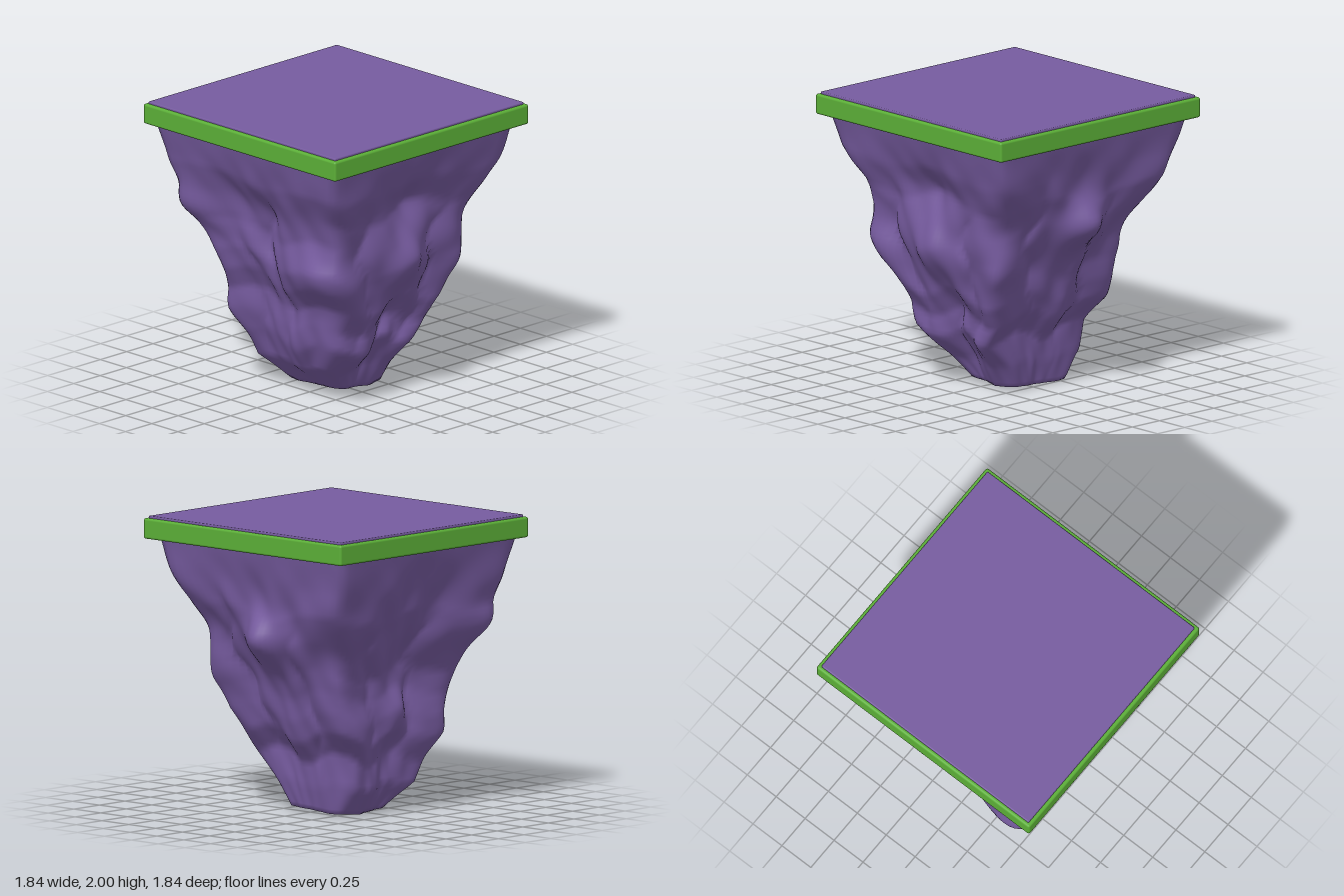
import * as THREE from 'three';
import { RoundedBoxGeometry } from 'three/addons/geometries/RoundedBoxGeometry.js';

// Rock taper by height: y, left x, right x, front z, back z
const PROFILE = [
  [1.87, -0.88, 0.86, 0.87, -0.85],
  [1.60, -0.82, 0.79, 0.81, -0.80],
  [1.40, -0.77, 0.71, 0.73, -0.77],
  [1.20, -0.68, 0.69, 0.65, -0.70],
  [1.00, -0.58, 0.66, 0.64, -0.61],
  [0.85, -0.55, 0.62, 0.59, -0.55],
  [0.70, -0.55, 0.58, 0.50, -0.51],
  [0.55, -0.53, 0.48, 0.48, -0.45],
  [0.40, -0.46, 0.47, 0.44, -0.33],
  [0.20, -0.44, 0.30, 0.36, -0.31],
  [0.04, -0.32, 0.21, 0.17, -0.27],
];

// Bulging lobes: angle from the front (degrees), height, angular width, height range, amount
const LOBES = [
  [313, 1.26, 18, 0.13, 0.11], [28, 0.97, 17, 0.18, 0.15], [90, 1.0, 20, 0.22, 0.18],
  [182, 1.2, 15, 0.16, 0.20], [314, 0.52, 14, 0.2, 0.11], [48, 0.9, 12, 0.2, 0.06],
  [47, 0.4, 12, 0.2, 0.07], [135, 1.25, 14, 0.16, -0.10], [225, 1.15, 14, 0.18, -0.07],
  [225, 0.6, 12, 0.12, 0.05], [135, 0.9, 10, 0.1, 0.04], [270, 0.7, 18, 0.18, 0.10],
  [10, 0.4, 18, 0.16, 0.09], [108, 0.2, 16, 0.16, 0.07], [65, 0.4, 14, 0.2, 0.06],
  [0, 1.35, 24, 0.14, -0.06], [90, 1.45, 26, 0.12, -0.05],
];

// Sharp upright clefts, same columns, amount is depth
const CLEFTS = [
  [0, 0.95, 7, 0.5, 0.10], [-22, 0.9, 6, 0.25, 0.06], [60, 0.95, 7, 0.4, 0.11],
  [87, 0.35, 7, 0.3, 0.12], [116, 0.85, 7, 0.4, 0.12], [152, 0.9, 7, 0.5, 0.10],
  [202, 0.7, 7, 0.5, 0.10], [245, 0.9, 7, 0.45, 0.10], [285, 0.9, 7, 0.4, 0.09],
  [330, 0.5, 6, 0.3, 0.08],
];

function outlineAt(y) {
  let i = 0;
  while (i < PROFILE.length - 2 && PROFILE[i + 1][0] > y) i++;
  const a = PROFILE[i], b = PROFILE[i + 1];
  const k = THREE.MathUtils.clamp((a[0] - y) / (a[0] - b[0]), 0, 1);
  return a.map((v, n) => v + (b[n] - v) * k);
}

const angleGap = (a, b) => ((((a - b + 540) % 360) + 360) % 360) - 180;

// Scale of the rock face at an angle and height: hollow faces, full corners
function relief(t, y) {
  const fade = THREE.MathUtils.smoothstep(1.87 - y, 0, 0.45);
  const deg = THREE.MathUtils.radToDeg(t);
  const wander = deg + 4 * Math.sin(y * 7) + 2 * Math.sin(y * 17 + 1);
  let sum = -0.06 * Math.cos(2 * t) ** 2;
  for (const [a, h, w, range, d] of LOBES) {
    sum += d * Math.exp(-((angleGap(deg, a) / w) ** 2) - ((y - h) / range) ** 2);
  }
  for (const [a, h, w, range, d] of CLEFTS) {
    sum -= d * Math.exp(-Math.abs(angleGap(wander, a)) / w - ((y - h) / range) ** 2);
  }
  const ripple = 0.012 * Math.sin(7 * t + 9 * y) + 0.012 * Math.sin(13 * t - 8 * y + 2)
    + 0.008 * Math.sin(23 * t + 13 * y);
  return 1 + fade * (sum + ripple + 0.01);
}

function rockPoint(t, y) {
  // Each side steps at slightly different heights
  const shift = 0.05 * Math.sin(6 * t + 1) * THREE.MathUtils.smoothstep(1.87 - y, 0, 0.5)
    * THREE.MathUtils.smoothstep(y, 0.04, 0.4);
  const [, left, right, front, back] = outlineAt(y + shift);
  const s = Math.sin(t), c = Math.cos(t);
  const n = 6 + 6 * THREE.MathUtils.smoothstep(y, 0.2, 1.4) + 28 * THREE.MathUtils.smoothstep(y, 1.4, 1.87);
  const r = (Math.abs(s) ** n + Math.abs(c) ** n) ** (-1 / n) * relief(t, y);
  return [r * s * (s > 0 ? right : -left), y, r * c * (c > 0 ? front : -back)];
}

// Tapering rock built from rings, closed by a crumpled hollow underneath
function rockGeometry() {
  const around = 160, down = 60, capRings = 4;
  const positions = [], index = [];
  for (let i = 0; i <= down + capRings; i++) {
    const y = 1.87 - 1.83 * Math.min(i / down, 1);
    const cap = Math.max(0, i - down) / capRings;
    for (let j = 0; j < around; j++) {
      const t = (j / around) * Math.PI * 2;
      const p = rockPoint(t, y);
      const low = THREE.MathUtils.smoothstep(0.3 - y, 0, 0.26);
      p[1] += low * (0.1 * Math.abs(p[2] + 0.1) + 0.06 * Math.abs(p[0] + 0.2) - 0.045) * (1 - cap)
        + cap * (0.03 + 0.015 * Math.sin(7 * t) * (1 - cap));
      p[0] += (-0.05 - p[0]) * cap;
      p[2] += (-0.04 - p[2]) * cap;
      positions.push(p[0], Math.max(p[1], 0), p[2]);
    }
  }
  for (let i = 0; i < down + capRings; i++) {
    for (let j = 0; j < around; j++) {
      const k = (j + 1) % around;
      const a = i * around + j, b = i * around + k;
      index.push(a, a + around, b, b, a + around, b + around);
    }
  }
  const geometry = new THREE.BufferGeometry();
  geometry.setAttribute('position', new THREE.Float32BufferAttribute(positions, 3));
  geometry.setIndex(index);
  geometry.computeVertexNormals();
  return geometry;
}

export function createModel() {
  const purple = new THREE.MeshStandardMaterial({ color: 0x765b9f });
  purple.name = 'purple rock';
  const green = new THREE.MeshStandardMaterial({ color: 0x5bae37 });
  green.name = 'grass green';

  const group = new THREE.Group();
  group.name = 'floatingRockPlatform';
  const add = (name, geometry, material, y = 0) => {
    const mesh = new THREE.Mesh(geometry, material);
    mesh.name = name;
    mesh.position.y = y;
    group.add(mesh);
  };

  add('rockBase', rockGeometry(), purple);
  add('grassRim', new RoundedBoxGeometry(1.84, 0.14, 1.84, 3, 0.016), green, 1.914);
  add('topSlab', new RoundedBoxGeometry(1.79, 0.06, 1.79, 2, 0.008), purple, 1.97);
  return group;
}
